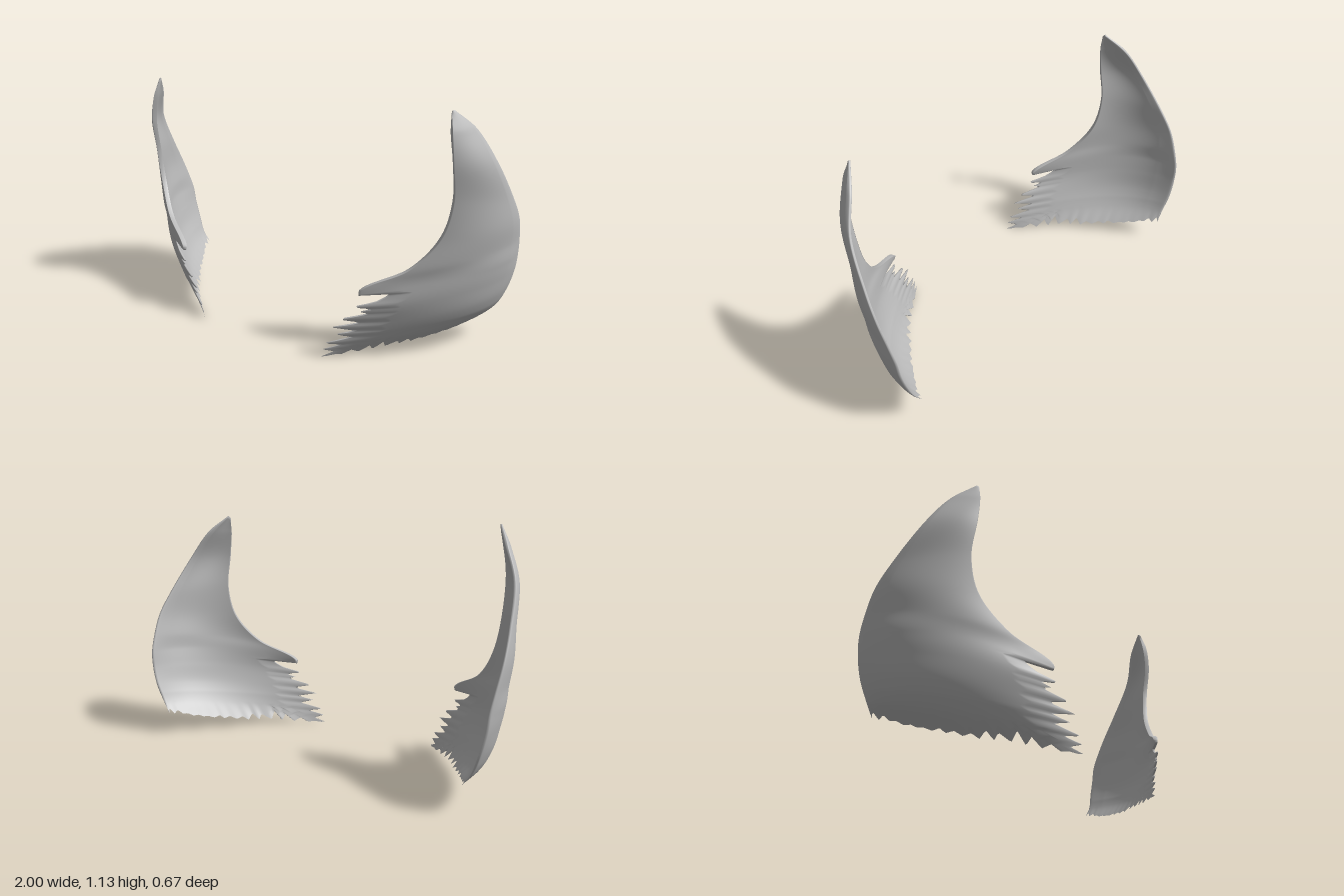
import * as THREE from 'three';

const V = (p) => new THREE.Vector3(...p);
const ROWS = 110, COLS = 90;

// Control rows from the bottom edge to the tip: three curves run up the back, middle and front
const curve = (pts) => new THREE.CatmullRomCurve3(pts.map(V));
const back = curve([[.865, .125, -.328], [.905, .18, -.325], [.943, .27, -.335], [.968, .36, -.335], [.978, .44, -.33],
  [.987, .52, -.305], [.994, .63, -.257], [.982, .74, -.188], [.94, .92, -.07], [.868, 1.06, -.002], [.8, 1.143, .08]]);
const middle = curve([[.665, .05, -.015], [.745, .135, 0], [.802, .23, .01], [.838, .33, .01], [.865, .42, 0],
  [.9, .5, -.03], [.93, .61, -.05], [.925, .75, -.03], [.9, .92, .035], [.848, 1.05, .06], [.798, 1.14, .088]]);
const front = curve([[.338, .012, .335], [.355, .085, .335], [.4, .185, .325], [.475, .28, .305], [.5, .357, .285],
  [.68, .46, .18], [.785, .6, .108], [.825, .76, .093], [.825, .93, .115], [.81, 1.05, .113], [.796, 1.13, .093]]);

// Notch depth along the lower front edge, as pairs of height and depth; the top tooth is long and blunt
const frontTeeth = [[0, 0], [.3, .05], [.55, 0], [.8, .07], [1, 0], [1.25, .1], [1.45, .03], [1.6, .1], [1.85, 0], [2.05, .1],
  [2.3, 0], [2.55, .1], [2.7, .05], [2.8, .1], [3, 0], [3.2, .09], [3.45, .13], [3.62, .14], [3.68, .01], [3.95, 0], [10, 0]];

function ramp(table, x) {
  for (let i = 1; i < table.length; i++) {
    const [a, p] = table[i - 1], [b, q] = table[i];
    if (x <= b) return p + (q - p) * (x - a) / (b - a);
  }
  return 0;
}

// Irregular notches along the bottom edge, deepest towards the front
let seed = 7;
const random = () => (seed = (seed * 16807) % 2147483647) / 2147483647;
const bottomTeeth = [[0, 0]];
for (let u = 0, k = 1; u < 1; k++) {
  u += .018 + .03 * random();
  const depth = u > .88 ? .08 : u > .6 ? .7 : u < .15 ? .5 : .22;
  bottomTeeth.push([u, k % 2 ? depth * (.4 + .6 * random()) : .25 * depth * random()]);
}

// Point on the middle sheet: u runs back to front, v runs bottom (0) to tip (10)
function sheet(u, v) {
  const t = THREE.MathUtils.clamp(v / 10, 0, 1);
  return back.getPoint(t).multiplyScalar((1 - u) * (1 - 2 * u))
    .addScaledVector(middle.getPoint(t), 4 * u * (1 - u))
    .addScaledVector(front.getPoint(t), u * (2 * u - 1));
}

// Half thickness: thin at the bottom and back, rounded lip on the upper front edge
function halfThickness(u, v) {
  const rise = Math.min(1, v / 1.5) * Math.min(1, .4 + (10 - v) / 1.5);
  const lip = THREE.MathUtils.smoothstep(v, 3.3, 4.2);
  const backEdge = Math.min(1, Math.sqrt(u / .15)) * .7 + .3;
  const frontEdge = THREE.MathUtils.lerp(Math.min(1, (1 - u) / .25 + .3), .9, lip);
  return .012 * rise * backEdge * frontEdge;
}

function shellGeometry(side) {
  const positions = [], index = [], ring = 2 * (COLS + 1);
  for (let i = 0; i <= ROWS; i++) {
    const v0 = 10 * Math.pow(i / ROWS, 1.3);
    const outer = [], inner = [];
    for (let j = 0; j <= COLS; j++) {
      const s = j / COLS;
      const u = s - ramp(frontTeeth, v0) * Math.max(0, (s - .7) / .3);
      const v = v0 + ramp(bottomTeeth, s) * Math.max(0, 1 - v0);
      const p = sheet(u, v), e = .01;
      const du = sheet(u + e, v).sub(sheet(u - e, v));
      const dv = sheet(u, Math.min(10, v + e)).sub(sheet(u, Math.max(0, v - e)));
      const n = dv.cross(du).normalize().multiplyScalar(halfThickness(s, v0));
      outer.push(p.clone().add(n));
      inner.unshift(p.clone().sub(n));
    }
    for (const p of [...outer, ...inner]) positions.push(side * p.x, Math.max(0, p.y), p.z);
  }
  const tri = (a, b, c) => (side > 0 ? index.push(a, b, c) : index.push(a, c, b));
  for (let i = 0; i < ROWS; i++) {
    for (let j = 0; j < ring; j++) {
      const a = i * ring + j, b = i * ring + (j + 1) % ring;
      tri(a, a + ring, b);
      tri(b, a + ring, b + ring);
    }
  }
  // Close the tip
  const top = ROWS * ring;
  for (let j = 0; j < COLS; j++) {
    const a = top + j, b = a + 1, c = top + ring - 1 - j, d = c - 1;
    tri(a, c, b);
    tri(b, c, d);
  }
  const geometry = new THREE.BufferGeometry();
  geometry.setAttribute('position', new THREE.Float32BufferAttribute(positions, 3));
  geometry.setIndex(index);
  geometry.computeVertexNormals();
  return geometry;
}

export function createModel() {
  const group = new THREE.Group();
  group.name = 'hornPair';
  const grey = new THREE.MeshStandardMaterial({ color: 0xbcbcbc });
  grey.name = 'plain grey';
  for (const [name, side] of [['leftHorn', 1], ['rightHorn', -1]]) {
    const horn = new THREE.Mesh(shellGeometry(side), grey);
    horn.name = name;
    group.add(horn);
  }
  return group;
}
